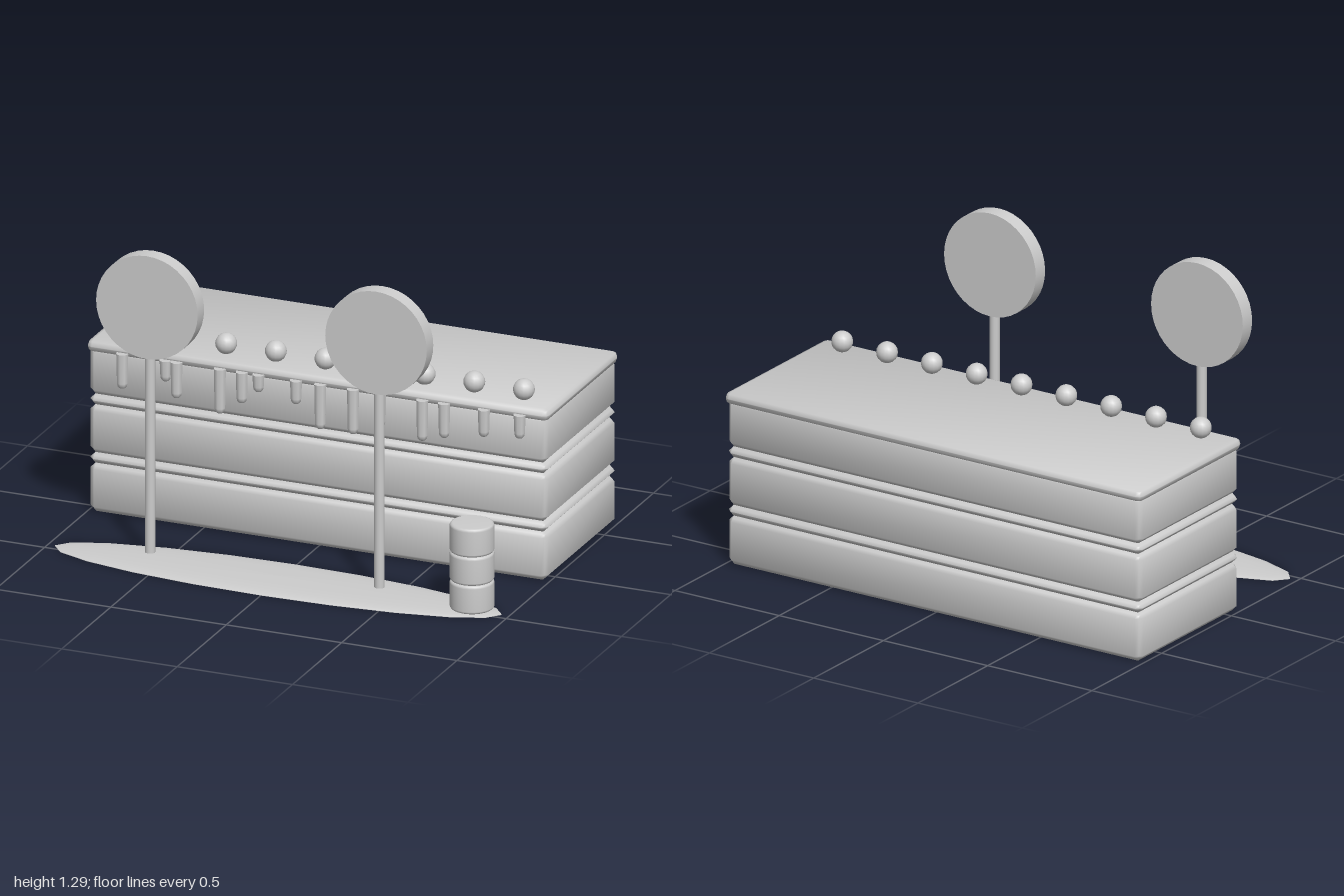
import * as THREE from 'three';

const grey = new THREE.MeshStandardMaterial({ color: 0xcccccc });
grey.name = 'light grey';

function part(name, geometry, x, y, z, parent) {
  const mesh = new THREE.Mesh(geometry, grey);
  mesh.name = name;
  mesh.position.set(x, y, z);
  parent.add(mesh);
  return mesh;
}

// Box with bevelled edges (straight or rounded) and soft shading across its faces
function bevelBox(w, h, d, b, rounded) {
  const g = new THREE.BoxGeometry(3, 3, 3, 3, 3, 3);
  const p = g.attributes.position, n = g.attributes.normal;
  const half = [w / 2 - b, h / 2 - b, d / 2 - b];
  for (let i = 0; i < p.count; i++) {
    const c = [p.getX(i), p.getY(i), p.getZ(i)];
    const sign = c.map(Math.sign);
    const out = c.map(v => (Math.abs(v) > 1 ? 1 : 0));
    const count = out[0] + out[1] + out[2];
    const reach = b / (rounded ? Math.sqrt(count) : count);
    p.setXYZ(i, ...sign.map((s, k) => s * (half[k] + out[k] * reach)));
    const normal = new THREE.Vector3(...sign.map((s, k) => s * (out[k] ? 1 : 0.25))).normalize();
    n.setXYZ(i, normal.x, normal.y, normal.z);
  }
  return g;
}

const lathe = (points, sides) =>
  new THREE.LatheGeometry(points.map(q => new THREE.Vector2(q[0], q[1])), sides);

export function createModel() {
  const model = new THREE.Group();
  model.name = 'cakeScene';
  const cakeZ = -0.286;

  // Cake: three layers, two fillings and an icing slab
  const cake = new THREE.Group();
  cake.name = 'cake';
  model.add(cake);
  for (let i = 0; i < 3; i++)
    part('cakeLayer', bevelBox(1.985, 0.21, 0.72, 0.025, false), 0, 0.105 + i * 0.25, cakeZ, cake);
  for (let i = 0; i < 2; i++)
    part('creamFilling', bevelBox(1.985, 0.046, 0.72, 0.0225, false), 0, 0.23 + i * 0.25, cakeZ, cake);
  part('icing', bevelBox(2, 0.053, 0.736, 0.025, true), 0, 0.711, cakeZ, cake);

  // Row of beads along the front edge
  const bead = new THREE.SphereGeometry(0.044, 16, 10);
  for (let i = -4; i <= 4; i++) part('bead', bead, i * 0.215, 0.778, -0.01, cake);

  // Icing drips: [x, bottom height]
  const drips = [
    [-0.84, 0.555], [-0.652, 0.615], [-0.605, 0.55], [-0.417, 0.513], [-0.322, 0.572],
    [-0.25, 0.63], [-0.087, 0.604], [0.018, 0.513], [0.16, 0.513], [0.278, 0.563],
    [0.46, 0.53], [0.555, 0.557], [0.727, 0.588], [0.882, 0.604],
  ];
  for (const [x, y] of drips) {
    const len = 0.706 - y;
    const shape = [[0, 0], [0.012, 0.004], [0.02, 0.013], [0.023, 0.026], [0.026, len], [0.026, len], [0, len]];
    part('drip', lathe(shape, 8), x, y, 0.085, cake);
  }

  // Shallow oval puddle
  const puddle = lathe([[0, 0], [1, 0], [1, 0], [1, 0.003], [0.95, 0.008], [0.8, 0.014], [0.5, 0.018], [0, 0.02]], 20);
  puddle.rotateY(Math.PI / 2);
  puddle.scale(0.968, 1, 0.18);
  part('puddle', puddle, 0, 0, 0.47, model);

  // Two round lollipops on sticks
  for (const x of [-0.577, 0.416]) {
    const pop = new THREE.Group();
    pop.name = 'lollipop';
    pop.position.set(x, 0, 0.419);
    model.add(pop);
    part('stick', new THREE.CylinderGeometry(0.021, 0.021, 0.86, 12), 0, 0.44, 0, pop);
    part('candyDisc', new THREE.CylinderGeometry(0.22, 0.22, 0.067, 40), 0, 1.073, 0, pop).rotation.x = Math.PI / 2;
  }

  // Stack of three bevelled sweets
  const h = 0.1215, r = 0.09, b = 0.012;
  const sweet = lathe([[0, 0], [r - b, 0], [r - b * 0.3, b * 0.3], [r, b], [r, h - b],
    [r - b * 0.3, h - b * 0.3], [r - b, h], [0, h]], 24);
  for (let i = 0; i < 3; i++) part('stackedSweet', sweet, 0.834, 0.008 + i * h, 0.457, model);

  return model;
}
